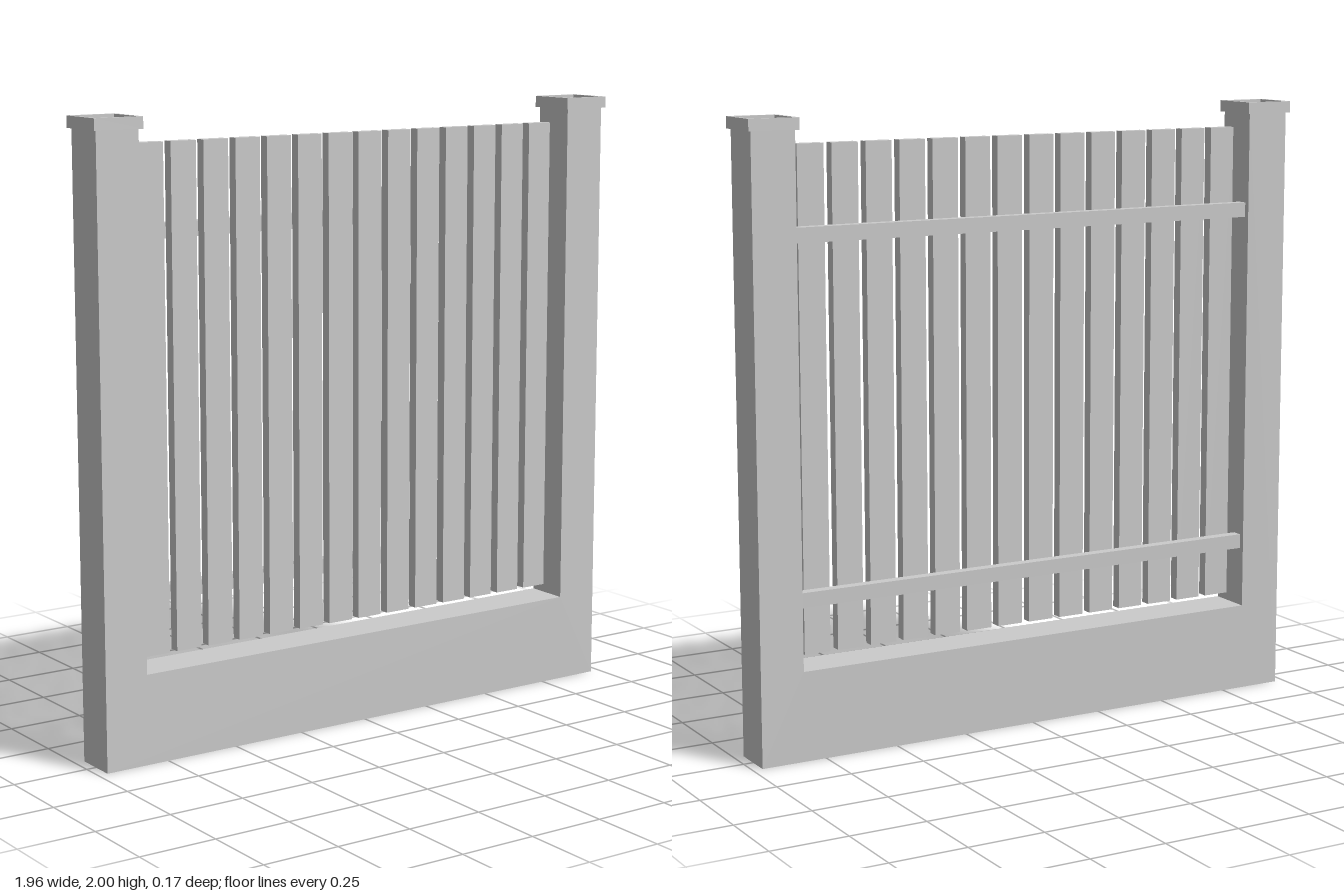
import * as THREE from 'three';

const material = new THREE.MeshStandardMaterial({ color: 0xcccccc, flatShading: true });
const openMaterial = new THREE.MeshStandardMaterial({ color: 0xcccccc, flatShading: true, side: THREE.DoubleSide });

const OUT = 0.968, IN = 0.823, HALF = 0.073; // post outer and inner faces, half depth
const BASE_TOP = 0.29, POST_TOP = 1.983, CAP_BOTTOM = 1.963, TOP = 2;

function box(name, x0, x1, y0, y1, z0, z1) {
  const mesh = new THREE.Mesh(new THREE.BoxGeometry(x1 - x0, y1 - y0, z1 - z0), material);
  mesh.position.set((x0 + x1) / 2, (y0 + y1) / 2, (z0 + z1) / 2);
  mesh.name = name;
  return mesh;
}

function square(half, Type = THREE.Shape) {
  return new Type([[-half, -half], [half, -half], [half, half], [-half, half]]
    .map(([x, y]) => new THREE.Vector2(x, y)));
}

// Hollow U-shaped shell: both posts and the base wall, open underneath
function frameGeometry() {
  const outline = [[-OUT, 0], [OUT, 0], [OUT, POST_TOP], [IN, POST_TOP],
    [IN, BASE_TOP], [-IN, BASE_TOP], [-IN, POST_TOP], [-OUT, POST_TOP]];
  const shape = new THREE.Shape(outline.map(([x, y]) => new THREE.Vector2(x, y)));
  const solid = new THREE.ExtrudeGeometry(shape, { depth: 2 * HALF, bevelEnabled: false });
  solid.translate(0, 0, -HALF);
  const p = solid.attributes.position;
  const kept = [];
  for (let i = 0; i < p.count; i += 3) {
    const isUnderside = [0, 1, 2].every((k) => Math.abs(p.getY(i + k)) < 1e-5);
    if (isUnderside) continue;
    for (let k = 0; k < 3; k++) kept.push(p.getX(i + k), p.getY(i + k), p.getZ(i + k));
  }
  const geometry = new THREE.BufferGeometry();
  geometry.setAttribute('position', new THREE.Float32BufferAttribute(kept, 3));
  geometry.computeVertexNormals();
  return geometry;
}

// Square collar around a post top, leaving a shallow recess
function capGeometry() {
  const shape = square(0.083);
  shape.holes.push(square(0.0715, THREE.Path));
  const geometry = new THREE.ExtrudeGeometry(shape, { depth: TOP - CAP_BOTTOM, bevelEnabled: false });
  return geometry.rotateX(-Math.PI / 2);
}

export function createModel() {
  const group = new THREE.Group();
  group.name = 'fencePanel';

  const frame = new THREE.Mesh(frameGeometry(), openMaterial);
  frame.name = 'postsAndBase';
  group.add(frame);

  // Post caps
  const cap = capGeometry();
  for (const side of [-1, 1]) {
    const mesh = new THREE.Mesh(cap, material);
    mesh.name = side > 0 ? 'leftPostCap' : 'rightPostCap';
    mesh.position.set(side * (OUT + IN) / 2, CAP_BOTTOM, 0);
    group.add(mesh);
  }

  // Horizontal rails behind the slats
  group.add(box('lowerRail', -IN, IN, 0.488, 0.536, -0.055, -0.02));
  group.add(box('upperRail', -IN, IN, 1.62, 1.668, -0.055, -0.02));

  // Evenly spaced vertical slats
  const slats = new THREE.Group();
  slats.name = 'slats';
  const count = 14, pitch = 0.1154, halfWidth = 0.0445;
  for (let i = 0; i < count; i++) {
    const x = (i - (count - 1) / 2) * pitch;
    slats.add(box('slat', x - halfWidth, x + halfWidth, 0.328, 1.917, -0.02, 0.015));
  }
  group.add(slats);

  return group;
}
